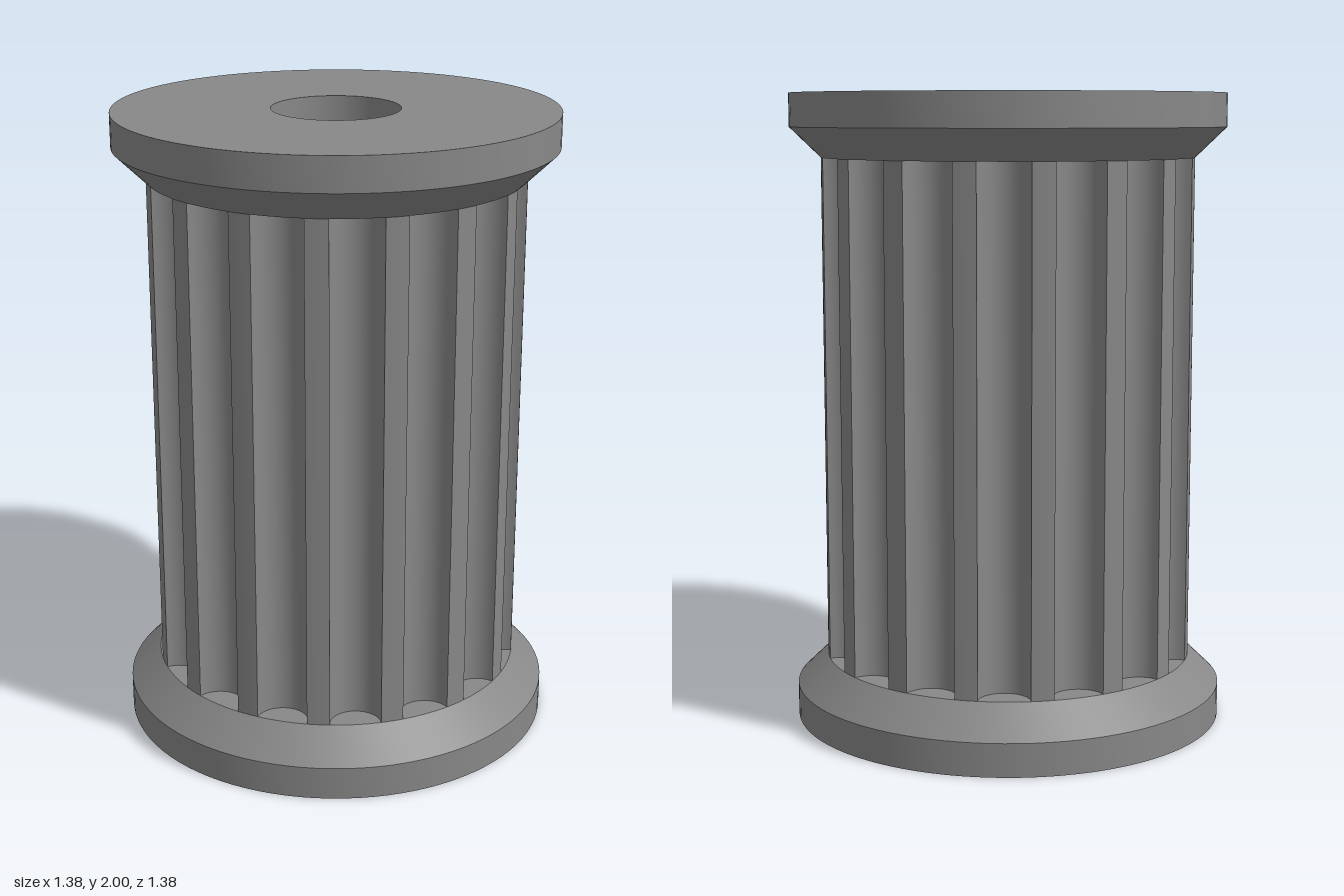
import * as THREE from 'three';
import { toCreasedNormals } from 'three/addons/utils/BufferGeometryUtils.js';

const HEIGHT = 2;
const BORE_R = 0.2;
const CORE_R = 0.59;
const FLANGE_R = 0.688;
const FLANGE_H = 0.2;
const TEETH = 16;
const GROOVE_R = 0.08;

// Outline of the toothed core: round grooves separated by narrow lands
function coreShape() {
  const half = Math.asin(GROOVE_R / CORE_R);
  const centreR = CORE_R * Math.cos(half);
  const pitch = (Math.PI * 2) / TEETH;
  const points = [];
  for (let i = 0; i < TEETH; i++) {
    const a = i * pitch;
    for (let j = 0; j <= 14; j++) {
      const b = a - Math.PI / 2 - (Math.PI * j) / 14;
      points.push(new THREE.Vector2(
        centreR * Math.cos(a) + GROOVE_R * Math.cos(b),
        centreR * Math.sin(a) + GROOVE_R * Math.sin(b)));
    }
    for (let j = 1; j < 4; j++) {
      const b = a + half + ((pitch - 2 * half) * j) / 4;
      points.push(new THREE.Vector2(CORE_R * Math.cos(b), CORE_R * Math.sin(b)));
    }
  }
  const shape = new THREE.Shape(points);
  shape.holes.push(new THREE.Path().absarc(0, 0, BORE_R, 0, Math.PI * 2, true));
  return shape;
}

// Ring with a straight rim and a 45 degree bevel towards the core
function flangeGeometry(top) {
  let profile = [
    [BORE_R, 0], [FLANGE_R, 0], [FLANGE_R, 0.105],
    [CORE_R, FLANGE_H], [BORE_R, FLANGE_H], [BORE_R, 0],
  ];
  if (top) profile = profile.map(([r, y]) => [r, HEIGHT - y]).reverse();
  const points = profile.map(([r, y]) => new THREE.Vector2(r, y));
  return toCreasedNormals(new THREE.LatheGeometry(points, 96), 0.5);
}

export function createModel() {
  const group = new THREE.Group();
  group.name = 'toothedPulley';
  const metal = new THREE.MeshStandardMaterial({ color: 0x888888 });
  metal.name = 'grey metal';

  const add = (name, geometry) => {
    const mesh = new THREE.Mesh(geometry, metal);
    mesh.name = name;
    group.add(mesh);
  };

  // Grooved core with a through bore
  const core = new THREE.ExtrudeGeometry(coreShape(), {
    depth: HEIGHT - 2 * FLANGE_H, bevelEnabled: false, curveSegments: 96,
  });
  core.rotateX(-Math.PI / 2);
  core.translate(0, FLANGE_H, 0);
  add('toothedCore', toCreasedNormals(core, 0.5));

  // Flanges at both ends
  add('bottomFlange', flangeGeometry(false));
  add('topFlange', flangeGeometry(true));

  return group;
}
